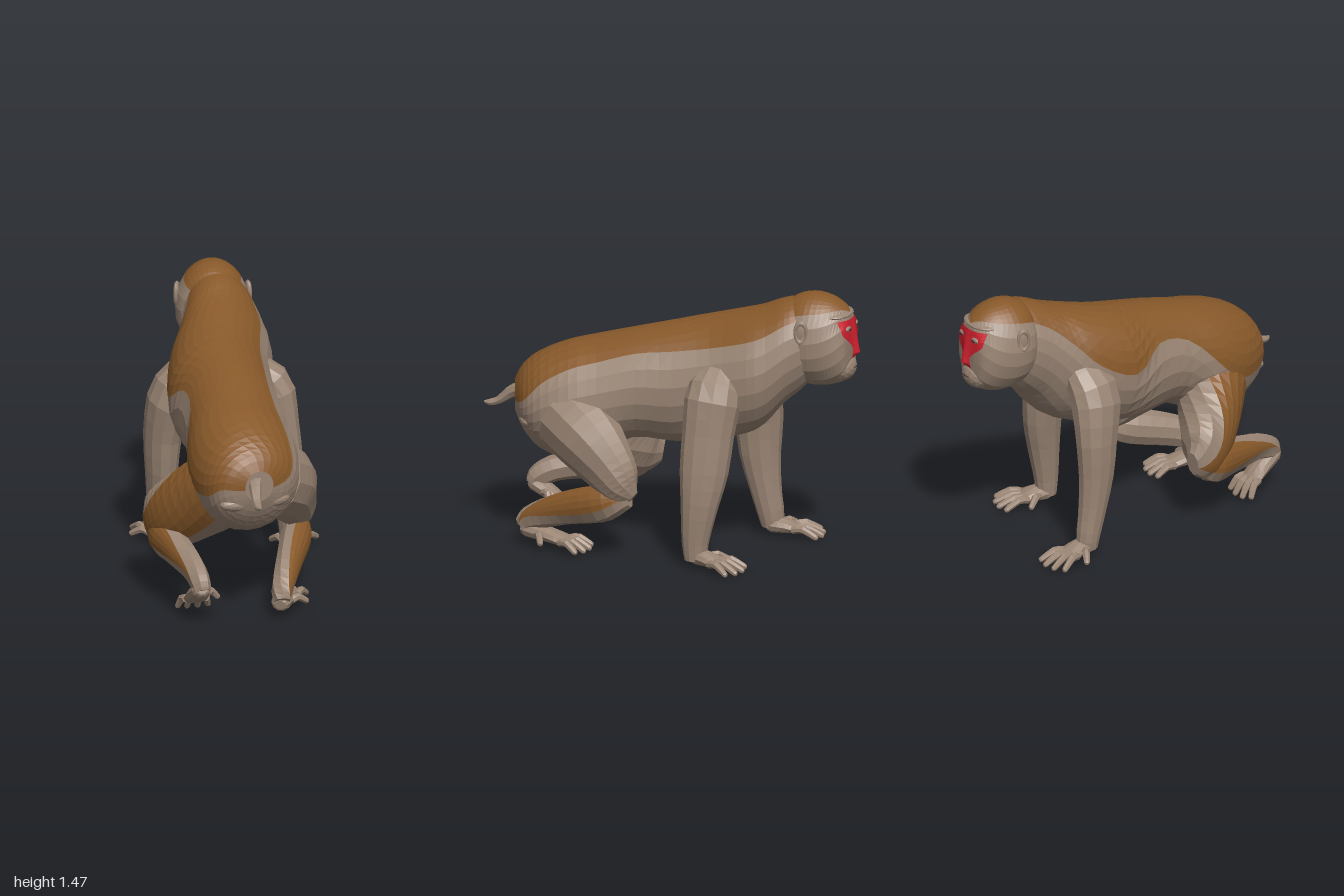
import * as THREE from 'three';

const mat = (name, color) => Object.assign(new THREE.MeshStandardMaterial({ color }), { name });
const fur = mat('greyFur', 0x9a8574);
const brown = mat('brownFur', 0x88592a);
const red = mat('redSkin', 0xcc1f2d);
const dark = mat('darkEyeAndMouth', 0x3a2c26);

const Y = new THREE.Vector3(0, 1, 0), Z = new THREE.Vector3(0, 0, 1);

// Catmull-Rom sample of every number in a row
function sample(rows, t) {
  const f = t * (rows.length - 1), i = Math.min(Math.floor(f), rows.length - 2), s = f - i;
  const at = k => rows[Math.max(0, Math.min(rows.length - 1, k))];
  const [p, q, r, w] = [at(i - 1), at(i), at(i + 1), at(i + 2)];
  return q.map((v, k) => 0.5 * (2 * v + (r[k] - p[k]) * s + (2 * p[k] - 5 * v + 4 * r[k] - w[k]) * s * s
    + (3 * v - p[k] - 3 * r[k] + w[k]) * s * s * s));
}

// Elliptical loft. Rows: x, y, z, side radius, up radius, and optionally
// the start and end angle (degrees) of a brown band.
function loft(name, rows, { ref = Y, axis = null, steps = 14, cols = 12 } = {}) {
  const band = rows[0].length > 5, nB = band ? Math.round(cols * 0.45) : 0;
  const pos = [], furIdx = [], brownIdx = [];
  const secs = Array.from({ length: steps + 1 }, (_, i) => sample(rows, i / steps));
  const centre = i => new THREE.Vector3(...secs[Math.max(0, Math.min(steps, i))].slice(0, 3));
  secs.forEach((s, i) => {
    const t = axis ? axis.clone() : centre(i + 1).sub(centre(i - 1)).normalize();
    const u = new THREE.Vector3().crossVectors(ref, t).normalize();
    const v = new THREE.Vector3().crossVectors(t, u);
    const a0 = band ? s[5] : 0, a1 = band ? Math.max(s[6], s[5]) : 0;
    for (let j = 0; j < cols; j++) {
      const deg = j < nB ? a0 + (a1 - a0) * j / nB : a1 + (360 + a0 - a1) * (j - nB) / (cols - nB);
      const a = deg * Math.PI / 180;
      const p = centre(i).addScaledVector(u, Math.max(s[3], 0.002) * Math.cos(a))
        .addScaledVector(v, Math.max(s[4], 0.002) * Math.sin(a));
      pos.push(p.x, p.y, p.z);
    }
  });
  for (let i = 0; i < steps; i++) for (let j = 0; j < cols; j++) {
    const k = (j + 1) % cols, a = i * cols + j, b = i * cols + k;
    (j < nB ? brownIdx : furIdx).push(a, b, a + cols, b, b + cols, a + cols);
  }
  const c0 = pos.length / 3, last = steps * cols;
  pos.push(...centre(0).toArray(), ...centre(steps).toArray());
  for (let j = 0; j < cols; j++) {
    const k = (j + 1) % cols;
    furIdx.push(c0, k, j, c0 + 1, last + j, last + k);
  }
  let g = new THREE.BufferGeometry();
  g.setAttribute('position', new THREE.Float32BufferAttribute(pos, 3));
  g.setIndex([...furIdx, ...brownIdx]);
  g = g.toNonIndexed();
  g.computeVertexNormals();
  if (band) {
    g.addGroup(0, furIdx.length, 0);
    g.addGroup(furIdx.length, brownIdx.length, 1);
  }
  const m = new THREE.Mesh(g, band ? [fur, brown] : fur);
  m.name = name;
  return m;
}

// Faceted ellipsoid
function blob(name, material, c, r) {
  const g = new THREE.IcosahedronGeometry(1, 2).scale(...r);
  g.computeVertexNormals();
  const m = new THREE.Mesh(g, material);
  m.position.set(...c);
  m.name = name;
  return m;
}

// Hand or foot: flat palm, four fanned digits and a thumb, pointing to +z
function paw(name, at, target, palm, digit, thumbSide) {
  const g = new THREE.Group();
  g.name = name;
  g.add(loft('palm', [[0, 0, -0.05, 0.03, 0.025], [0, 0.005, -0.02, 0.052, 0.045], [0, 0.008, palm * 0.5, 0.062, 0.04],
    [0, 0.003, palm, 0.068, 0.026], [0, 0, palm + 0.025, 0.045, 0.014]], { steps: 8, cols: 10 }));
  const finger = (label, x, z, angle, len) => {
    const s = Math.sin(angle), c = Math.cos(angle);
    const row = (d, y, r) => [x + s * d * len, y, z + c * d * len, r, r];
    g.add(loft(label, [row(0, 0.002, 0.021), row(0.35, 0.018, 0.021), row(0.7, 0.002, 0.018), row(0.95, -0.012, 0.015),
      row(1, -0.014, 0.005)], { steps: 7, cols: 7 }));
  };
  for (let i = 0; i < 4; i++) {
    const k = i - 1.5;
    finger('digit', k * 0.036, palm - 0.01, k * 0.18, digit * (1.02 - 0.06 * k * k));
  }
  finger('thumb', thumbSide * 0.045, palm * 0.3, thumbSide * 0.85, digit * 0.7);
  g.position.set(...at);
  g.lookAt(...target);
  return g;
}

// Head built facing +z, then turned
function makeHead() {
  const head = new THREE.Group();
  head.name = 'head';
  // z, top, bottom, half width, start of the brown cap
  const skull = loft('skull', [
    [-0.2, 0.18, -0.1, 0.1, 38], [-0.12, 0.245, -0.2, 0.175, 38], [-0.03, 0.272, -0.235, 0.2, 40],
    [0.06, 0.262, -0.235, 0.19, 46], [0.12, 0.235, -0.22, 0.168, 58], [0.16, 0.205, -0.2, 0.14, 74],
    [0.185, 0.17, -0.17, 0.105, 90], [0.195, 0.1, -0.1, 0.05, 90],
  ].map(([z, top, bot, w, a]) => [0, (top + bot) / 2, z, w, (top - bot) / 2, a, 180 - a]),
  { axis: Z, steps: 21, cols: 26 });
  head.add(skull);

  // Red mask: a thin sheet laid on the skull, wide at the eyes, narrow over the nose
  const ray = new THREE.Raycaster();
  const surface = (x, y) => {
    ray.set(new THREE.Vector3(x, y, 1), new THREE.Vector3(0, 0, -1));
    return 1 - ray.intersectObject(skull)[0].distance;
  };
  let sheet = new THREE.PlaneGeometry(2, 1, 14, 14);
  const p = sheet.attributes.position;
  for (let i = 0; i < p.count; i++) {
    const t = 0.5 - p.getY(i);
    const half = 0.115 - 0.08 * THREE.MathUtils.smoothstep(t, 0.3, 0.72);
    const x = p.getX(i) * half, y = 0.15 - 0.22 * t;
    const ridge = t < 0.86 ? t / 0.86 : (1 - t) / 0.14;
    p.setXYZ(i, x, y, surface(x, y) + 0.007 + 0.036 * ridge * Math.exp(-((x / 0.03) ** 2)));
  }
  sheet = sheet.toNonIndexed();
  sheet.computeVertexNormals();
  const mask = new THREE.Mesh(sheet, red);
  mask.name = 'redMask';
  head.add(mask);

  head.add(blob('brow', fur, [0, 0.168, 0.108], [0.125, 0.024, 0.085]));
  head.add(blob('muzzle', fur, [0, -0.125, 0.135], [0.1, 0.08, 0.08]));
  head.add(blob('mouth', dark, [0, -0.122, 0.155], [0.07, 0.007, 0.064]));
  for (const s of [-1, 1]) {
    const z = surface(s * 0.058, 0.1);
    head.add(blob('eyelid', fur, [s * 0.058, 0.102, z], [0.03, 0.018, 0.014]));
    head.add(blob('eye', dark, [s * 0.058, 0.099, z + 0.006], [0.018, 0.008, 0.012]));
    // Ear: rim around a shallow dish
    const ear = new THREE.Group();
    ear.name = 'ear';
    const rim = new THREE.Mesh(new THREE.TorusGeometry(0.04, 0.013, 6, 14).scale(0.75, 1.35, 1), fur);
    rim.name = 'earRim';
    ear.add(rim, blob('earDish', fur, [0, 0, -0.005], [0.032, 0.055, 0.012]));
    ear.position.set(s * 0.19, 0.095, -0.03);
    ear.rotation.y = s * (Math.PI / 2 - 0.25);
    head.add(ear);
  }
  head.position.set(0.185, 1.2, -0.78);
  head.rotation.y = Math.PI - 0.33;
  return head;
}

export function createModel() {
  const model = new THREE.Group();
  model.name = 'monkey';
  model.add(makeHead());

  // Neck and torso: z, centre x, top, bottom, half width, brown band
  const body = [
    [-0.77, 0.18, 1.4, 1.02, 0.14, 42, 138], [-0.69, 0.17, 1.44, 0.93, 0.19, 40, 142],
    [-0.6, 0.155, 1.425, 0.85, 0.225, 40, 148], [-0.5, 0.12, 1.38, 0.73, 0.268, 40, 158],
    [-0.4, 0.08, 1.345, 0.665, 0.3, 40, 172], [-0.2, 0.0, 1.285, 0.6, 0.3, 41, 178],
    [0, -0.04, 1.235, 0.58, 0.285, 43, 152], [0.2, -0.08, 1.185, 0.59, 0.28, 46, 154],
    [0.4, -0.13, 1.13, 0.5, 0.3, 46, 182], [0.55, -0.15, 1.09, 0.45, 0.3, 45, 192],
    [0.7, -0.17, 1.025, 0.5, 0.26, 34, 190], [0.79, -0.185, 0.95, 0.6, 0.19, 10, 180],
    [0.835, -0.19, 0.87, 0.7, 0.08, -10, 190],
  ].map(([z, x, top, bot, w, a0, a1]) => [x, (top + bot) / 2, z, w, (top - bot) / 2, a0, a1]);
  model.add(loft('torso', body, { axis: Z, steps: 36, cols: 26 }));

  // Arms
  model.add(loft('leftArm', [[0.2, 1.05, -0.28, 0.07, 0.09], [0.3, 0.94, -0.23, 0.115, 0.15], [0.335, 0.75, -0.2, 0.1, 0.14],
    [0.362, 0.52, -0.175, 0.09, 0.13], [0.375, 0.33, -0.15, 0.08, 0.1], [0.375, 0.15, -0.13, 0.063, 0.075],
    [0.375, 0.04, -0.13, 0.055, 0.06]], { ref: Z }));
  model.add(loft('rightArm', [[-0.06, 1.04, -0.42, 0.09, 0.11], [-0.18, 0.89, -0.42, 0.125, 0.155], [-0.225, 0.67, -0.46, 0.1, 0.135],
    [-0.23, 0.45, -0.47, 0.085, 0.112], [-0.225, 0.25, -0.5, 0.07, 0.085], [-0.22, 0.1, -0.53, 0.06, 0.07],
    [-0.22, 0.04, -0.53, 0.052, 0.055]], { ref: Z }));
  model.add(paw('leftHand', [0.38, 0.05, -0.15], [0.56, 0.02, -0.41], 0.11, 0.17, 1));
  model.add(paw('rightHand', [-0.21, 0.05, -0.55], [-0.17, 0.02, -0.84], 0.11, 0.17, 1));

  // Hind legs
  model.add(loft('leftThigh', [[-0.02, 0.72, 0.56, 0.18, 0.21], [0.11, 0.63, 0.44, 0.175, 0.2], [0.21, 0.5, 0.33, 0.125, 0.16],
    [0.26, 0.4, 0.26, 0.09, 0.11], [0.285, 0.35, 0.205, 0.03, 0.04]]));
  model.add(loft('leftShin', [[0.29, 0.34, 0.22, 0.03, 0.04, 20, 50], [0.215, 0.3, 0.36, 0.08, 0.1, -15, 85],
    [0.08, 0.23, 0.58, 0.07, 0.09, -15, 78], [-0.02, 0.15, 0.74, 0.06, 0.07, 15, 50],
    [-0.04, 0.1, 0.79, 0.045, 0.05, 30, 30]]));
  model.add(loft('rightThigh', [[-0.22, 0.74, 0.56, 0.19, 0.2, -40, 110], [-0.315, 0.61, 0.41, 0.18, 0.21, -45, 90],
    [-0.42, 0.48, 0.25, 0.15, 0.19, -50, 50], [-0.475, 0.41, 0.13, 0.108, 0.16, -40, 15],
    [-0.48, 0.39, 0.045, 0.04, 0.07, -15, -15]], { cols: 16 }));
  model.add(loft('rightShin', [[-0.48, 0.36, 0.08, 0.03, 0.04, 120, 200], [-0.485, 0.345, 0.2, 0.09, 0.115, 120, 200],
    [-0.49, 0.33, 0.36, 0.08, 0.1, 120, 200], [-0.48, 0.29, 0.6, 0.065, 0.075, 150, 180],
    [-0.48, 0.24, 0.71, 0.055, 0.065, 165, 165], [-0.48, 0.2, 0.745, 0.045, 0.04, 165, 165]]));
  model.add(paw('leftFoot', [-0.03, 0.075, 0.75], [0.16, 0.025, 0.42], 0.22, 0.15, -1));
  model.add(paw('rightFoot', [-0.48, 0.19, 0.72], [-0.44, 0.045, 0.5], 0.17, 0.13, -1));

  // Tail and seat pads
  model.add(loft('tail', [[-0.19, 0.82, 0.78, 0.05, 0.04], [-0.22, 0.79, 0.85, 0.035, 0.035], [-0.24, 0.735, 0.92, 0.025, 0.022],
    [-0.25, 0.72, 0.97, 0.02, 0.018], [-0.25, 0.725, 1, 0.005, 0.005]], { steps: 10, cols: 8 }));
  for (const s of [-1, 1]) model.add(blob('seatPad', fur, [-0.19 + s * 0.09, 0.68, 0.765], [0.11, 0.045, 0.05]));
  return model;
}
